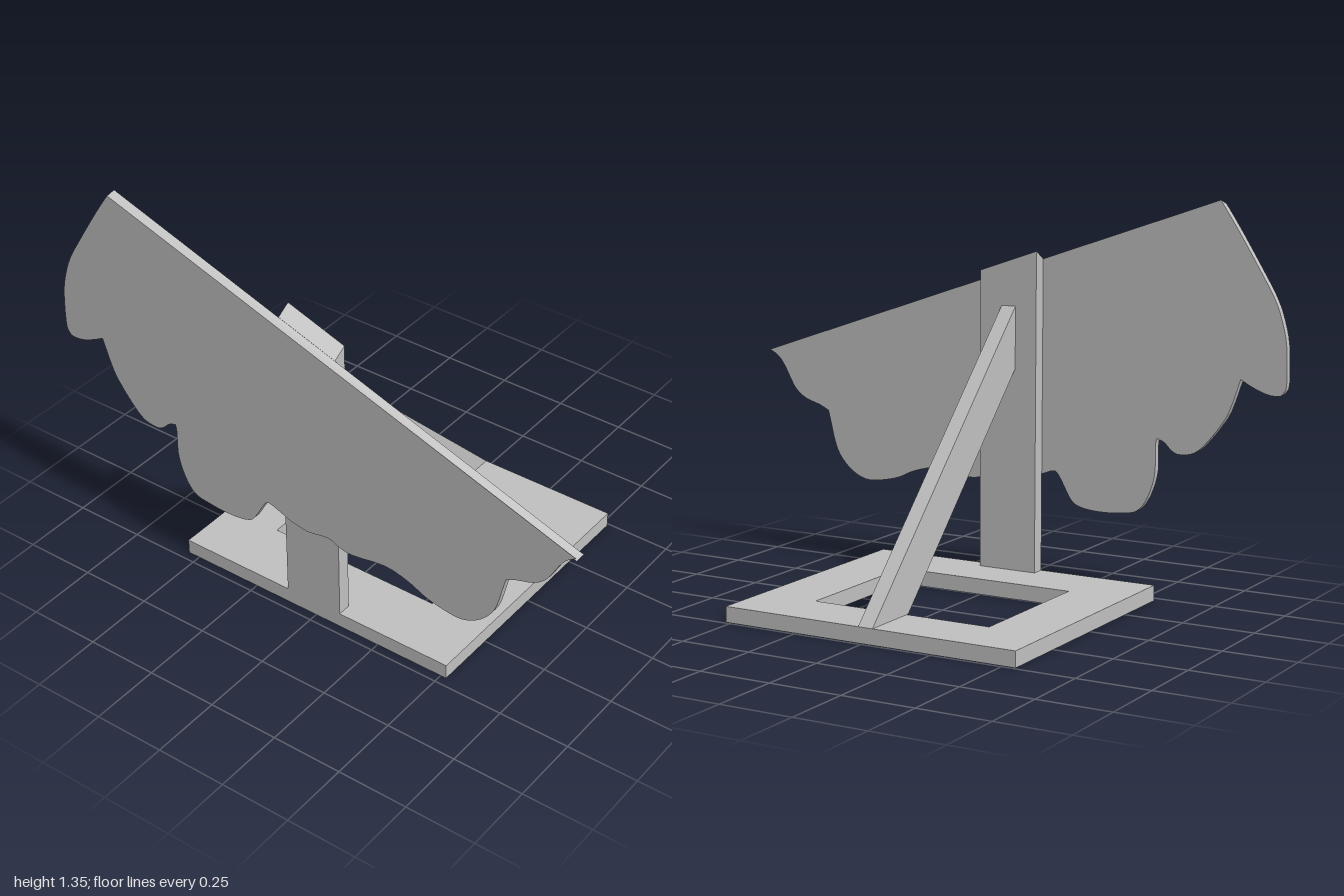
import * as THREE from 'three';
import { toCreasedNormals } from 'three/addons/utils/BufferGeometryUtils.js';

const POST_FRONT = 0.468, POST_BACK = 0.42, PANEL_DEPTH = 0.025, BASE_H = 0.053;

// Slanted plane that cuts the tops of both the panel and the post
const cutY = (x, z) => 1.125 - 0.347 * (x + 0.116) + 0.6 * (POST_FRONT - z);

// Lower outline of the panel: smooth runs that meet at sharp notches
const START = [-0.76, 1.347];
const RUNS = [
  [[-0.825, 1.25], [-0.9, 1.13], [-0.953, 1.04], [-0.98, 0.97], [-0.997, 0.89], [-1, 0.77],
    [-0.99, 0.738], [-0.972, 0.726], [-0.93, 0.73], [-0.88, 0.75], [-0.841, 0.771]],
  [[-0.803, 0.663], [-0.771, 0.61], [-0.728, 0.556], [-0.696, 0.524], [-0.664, 0.508],
    [-0.621, 0.505], [-0.595, 0.519], [-0.573, 0.54], [-0.546, 0.551]],
  [[-0.541, 0.524], [-0.541, 0.439], [-0.525, 0.374], [-0.498, 0.321], [-0.466, 0.294],
    [-0.418, 0.286], [-0.364, 0.281], [-0.3, 0.283], [-0.252, 0.294], [-0.225, 0.316],
    [-0.182, 0.39], [-0.161, 0.404], [-0.118, 0.39], [-0.07, 0.372], [-0.005, 0.361],
    [0.075, 0.374], [0.118, 0.358], [0.171, 0.35], [0.3, 0.369], [0.391, 0.35],
    [0.455, 0.321], [0.52, 0.305], [0.578, 0.299], [0.621, 0.31], [0.664, 0.337],
    [0.702, 0.38], [0.723, 0.428], [0.739, 0.492], [0.75, 0.535]],
  [[0.787, 0.553], [0.846, 0.572], [0.889, 0.604], [0.916, 0.647], [0.937, 0.684],
    [0.964, 0.717], [1, 0.738]],
];

function polygon(points, Type = THREE.Shape) {
  return new Type(points.map(([x, y]) => new THREE.Vector2(x, y)));
}

const rect = (x0, x1, y0, y1) => [[x0, y0], [x1, y0], [x1, y1], [x0, y1]];

function extrude(shape, depth) {
  return new THREE.ExtrudeGeometry(shape, { depth, bevelEnabled: false, curveSegments: 1 });
}

function panelGeometry() {
  const outline = [new THREE.Vector2(...START)];
  for (const run of RUNS) {
    const from = outline[outline.length - 1];
    const curve = new THREE.SplineCurve([from, ...run.map(p => new THREE.Vector2(...p))]);
    outline.push(...curve.getPoints(run.length * 3).slice(1));
  }
  const first = outline[0], last = outline[outline.length - 1];
  const geo = extrude(new THREE.Shape(outline), PANEL_DEPTH);
  geo.translate(0, 0, POST_FRONT);
  // Bevel the top edge by lowering its two front corners
  const pos = geo.attributes.position;
  for (let i = 0; i < pos.count; i++) {
    const isTop = [first, last].some(
      c => Math.hypot(pos.getX(i) - c.x, pos.getY(i) - c.y) < 1e-4);
    if (isTop && pos.getZ(i) > POST_FRONT + 0.01) {
      pos.setX(i, pos.getX(i) - 0.008);
      pos.setY(i, pos.getY(i) - 0.013);
    }
  }
  return toCreasedNormals(geo, 0.5);
}

function postGeometry() {
  const geo = new THREE.BoxGeometry(0.214, 1, POST_FRONT - POST_BACK);
  geo.translate(-0.009, 0.5, (POST_FRONT + POST_BACK) / 2);
  const pos = geo.attributes.position;
  for (let i = 0; i < pos.count; i++) {
    pos.setY(i, pos.getY(i) > 0.5 ? cutY(pos.getX(i), pos.getZ(i)) : BASE_H);
  }
  return toCreasedNormals(geo, 0.3);
}

function baseGeometry() {
  // Drawn in x and -z, then laid flat
  const frame = polygon(rect(-0.544, 0.521, -POST_FRONT, 0.491));
  frame.holes.push(polygon(rect(-0.337, 0.31, -0.249, 0.286), THREE.Path));
  return extrude(frame, BASE_H).rotateX(-Math.PI / 2);
}

function braceGeometry() {
  // Drawn in -z and y, then turned to run front to back
  const side = polygon([
    [-POST_BACK, 0.964], [-POST_BACK, 0.751], [0.277, BASE_H], [0.491, BASE_H]]);
  return extrude(side, 0.053).rotateY(Math.PI / 2).translate(-0.037, 0, 0);
}

export function createModel() {
  const grey = new THREE.MeshStandardMaterial({ color: 0xc0c0c0 });
  grey.name = 'plain grey';
  const group = new THREE.Group();
  group.name = 'panelOnStand';
  const parts = {
    scallopedPanel: panelGeometry(),
    post: postGeometry(),
    baseFrame: baseGeometry(),
    diagonalBrace: braceGeometry(),
  };
  for (const [name, geometry] of Object.entries(parts)) {
    const mesh = new THREE.Mesh(geometry, grey);
    mesh.name = name;
    group.add(mesh);
  }
  return group;
}
